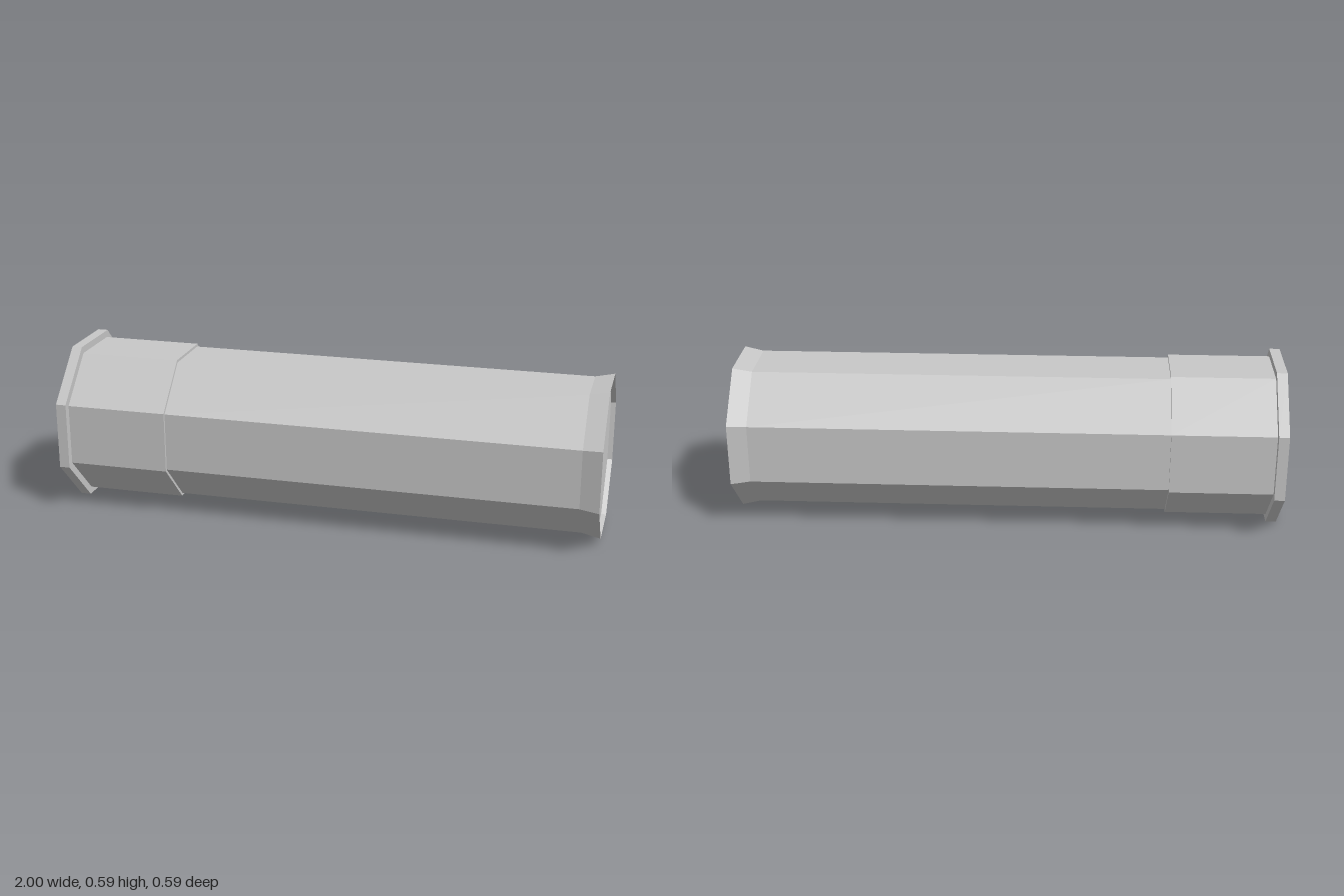
import * as THREE from 'three';

const SIDES = 8;
const CENTRE_Y = 0.297;

// Octagonal tube along x from [position, half width across flats] pairs
function octagon(name, profile, material) {
  const points = profile.map(([x, half]) => new THREE.Vector2(half / Math.cos(Math.PI / SIDES), x));
  const geometry = new THREE.LatheGeometry(points, SIDES, Math.PI / SIDES).toNonIndexed();
  geometry.rotateZ(-Math.PI / 2);
  geometry.computeVertexNormals(); // flat facets
  const mesh = new THREE.Mesh(geometry, material);
  mesh.name = name;
  mesh.position.y = CENTRE_Y;
  return mesh;
}

export function createModel() {
  const group = new THREE.Group();
  group.name = 'octagonalTube';
  const grey = new THREE.MeshStandardMaterial({ color: 0xc8c8c8 });
  grey.name = 'light grey';

  group.add(
    // Wide closed flange at the left end
    octagon('endFlange', [[-1, 0], [-1, 0.297], [-0.962, 0.297], [-0.962, 0.271]], grey),
    // Raised collar next to the flange
    octagon('collar', [[-0.962, 0.271], [-0.588, 0.271], [-0.588, 0.261]], grey),
    // Long body flaring out to a lip
    octagon('body', [[-0.588, 0.261], [0.93, 0.261], [1, 0.275]], grey),
    // Shallow recessed face inside the lip
    octagon('recessedCap', [[1, 0.275], [0.982, 0.271], [0.982, 0]], grey),
  );
  return group;
}
